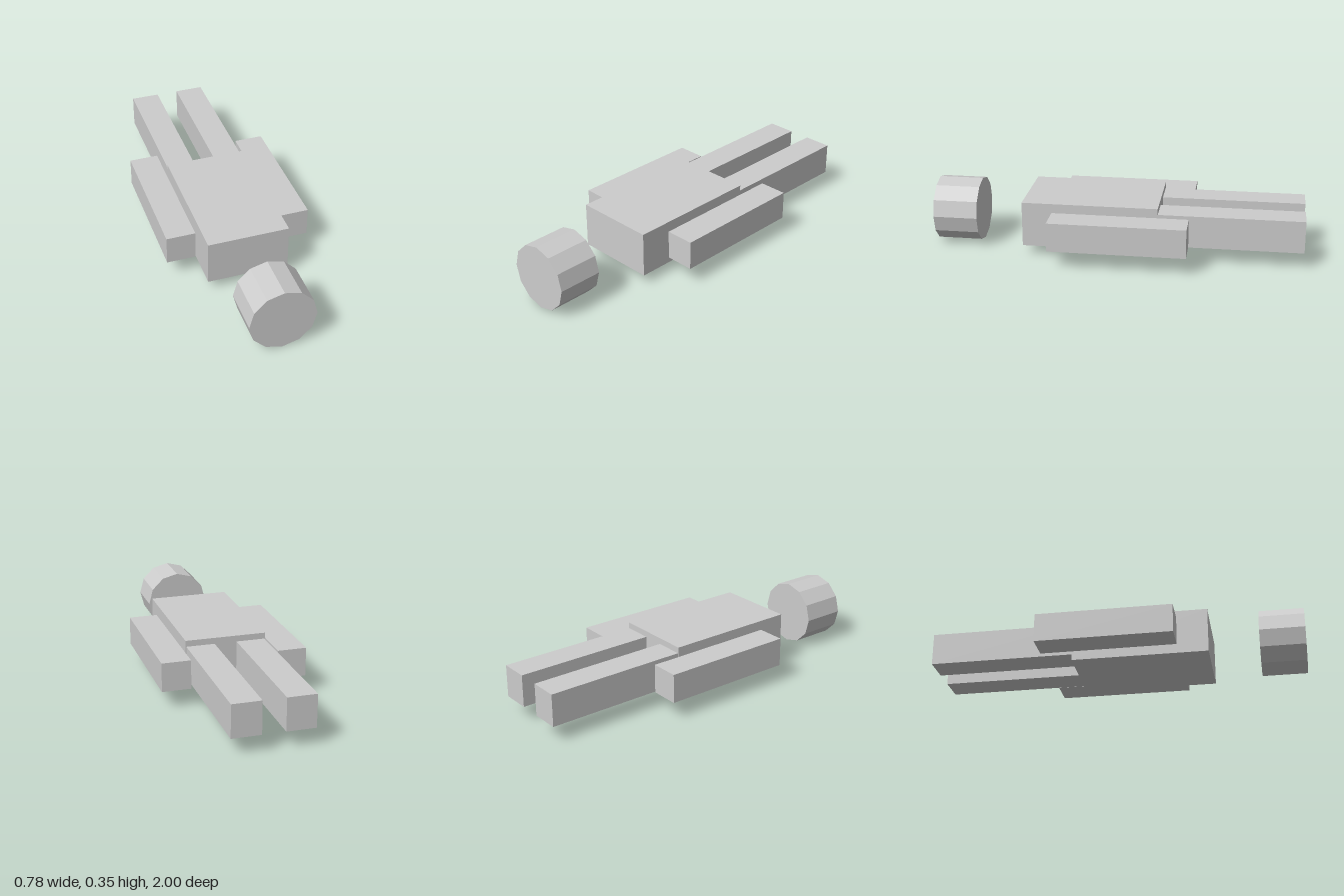
import * as THREE from 'three';

export function createModel() {
  const group = new THREE.Group();
  const grey = new THREE.MeshStandardMaterial({ color: 0xcccccc, flatShading: true });
  grey.name = 'light grey';

  // Box given by its extents on each axis
  const box = (name, [x0, x1], [y0, y1], [z0, z1]) => {
    const mesh = new THREE.Mesh(new THREE.BoxGeometry(x1 - x0, y1 - y0, z1 - z0), grey);
    mesh.position.set((x0 + x1) / 2, (y0 + y1) / 2, (z0 + z1) / 2);
    mesh.name = name;
    group.add(mesh);
  };

  // Torso
  box('torso', [-0.218, 0.218], [0.055, 0.298], [-0.23, 0.497]);

  // Arms and legs, mirrored
  for (const [side, s] of [['left', 1], ['right', -1]]) {
    const span = (a, b) => (s > 0 ? [a, b] : [-b, -a]);
    box(side + 'Arm', span(0.234, 0.389), [0.098, 0.254], [-0.395, 0.333]);
    box(side + 'Leg', span(0.06, 0.214), [0.09, 0.265], [-1, -0.23]);
  }

  // Head: twelve-sided drum lying along z
  const head = new THREE.Mesh(new THREE.CylinderGeometry(0.175, 0.175, 0.24, 12), grey);
  head.rotation.x = Math.PI / 2;
  head.position.set(0, 0.176, 0.88);
  head.name = 'head';
  group.add(head);

  return group;
}
